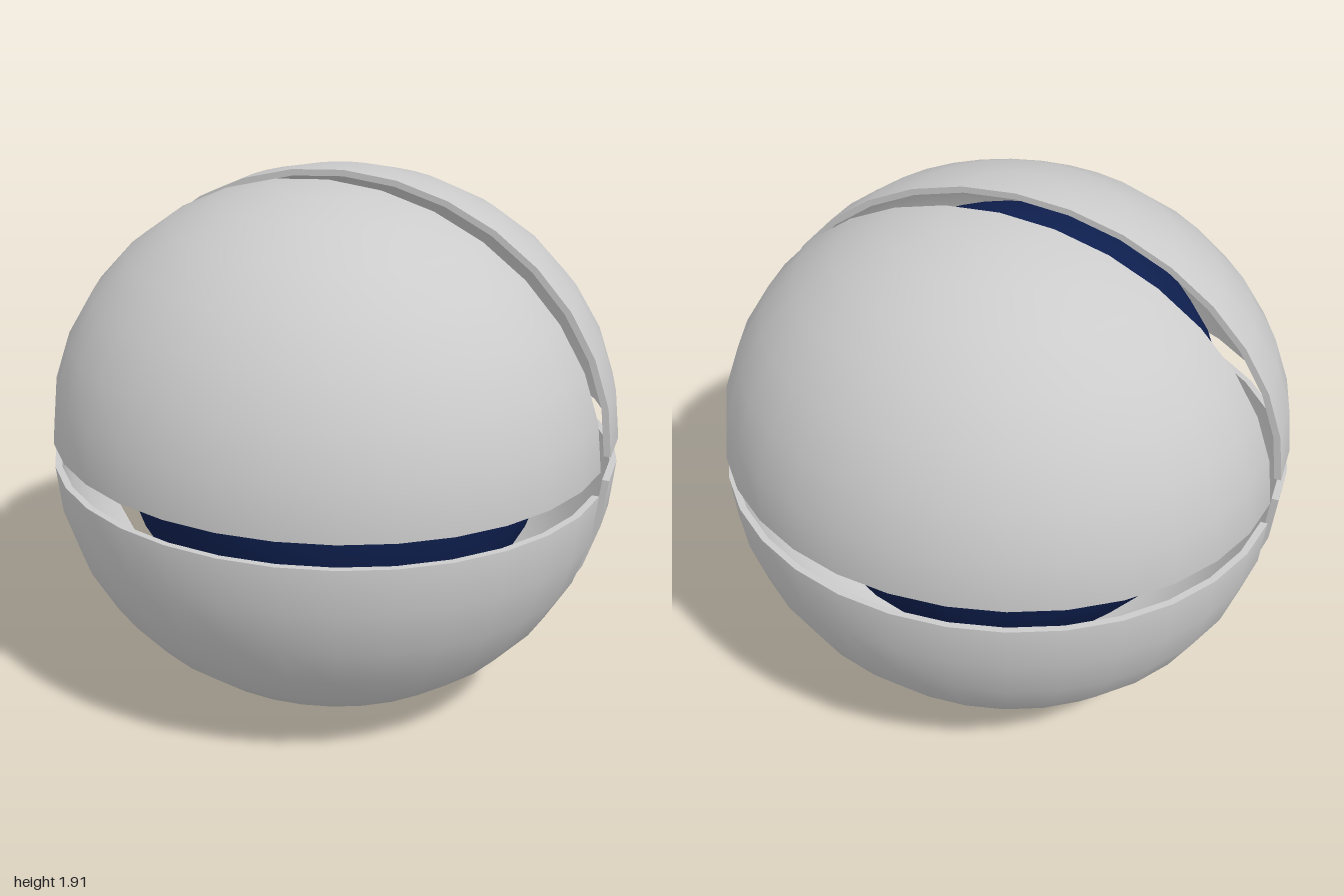
import * as THREE from 'three';

const CENTER_Y = 0.96;
const RADIUS = 0.91;       // shell height and depth (its width radius is 1)
const INNER = 0.975;       // inner wall as a share of the outer one
const GAP_Y = 0.045, GAP_Z = 0.067;

export function createModel() {
  const model = new THREE.Group();
  model.name = 'splitSphere';
  const shellMat = new THREE.MeshStandardMaterial({ color: 0xcccccc, side: THREE.DoubleSide });
  const coreMat = new THREE.MeshStandardMaterial({ color: 0x0f2050 });

  // Quarter shell: outer wall, inner wall and two flat rims
  const wall = new THREE.SphereGeometry(1, 16, 8, 0, Math.PI, 0, Math.PI / 2);
  const innerWall = wall.clone().scale(INNER, INNER, INNER);
  const rim = new THREE.RingGeometry(INNER, 1, 16, 1, 0, Math.PI);
  const uprightRim = rim.clone().rotateY(Math.PI);
  const levelRim = rim.clone().rotateX(Math.PI / 2);
  const parts = { outerWall: wall, innerWall, uprightRim, levelRim };

  const addQuarter = (name, rotation, sy, sz) => {
    const quarter = new THREE.Group();
    quarter.name = name;
    for (const [part, geometry] of Object.entries(parts)) {
      const mesh = new THREE.Mesh(geometry, shellMat);
      mesh.name = part;
      quarter.add(mesh);
    }
    quarter.scale.set(1, RADIUS, RADIUS);
    quarter.rotation.set(...rotation);
    quarter.position.set(0, CENTER_Y + sy * GAP_Y, sz * GAP_Z);
    model.add(quarter);
  };

  // Each quarter is a half turn of the first, pushed away from the centre
  addQuarter('upperFrontShell', [0, 0, 0], 1, 1);
  addQuarter('upperBackShell', [0, Math.PI, 0], 1, -1);
  addQuarter('lowerFrontShell', [0, 0, Math.PI], -1, 1);
  addQuarter('lowerBackShell', [Math.PI, 0, 0], -1, -1);

  // Dark ball inside
  const core = new THREE.Mesh(new THREE.SphereGeometry(0.785, 32, 16), coreMat);
  core.name = 'core';
  core.position.y = 1.017;
  model.add(core);

  return model;
}
